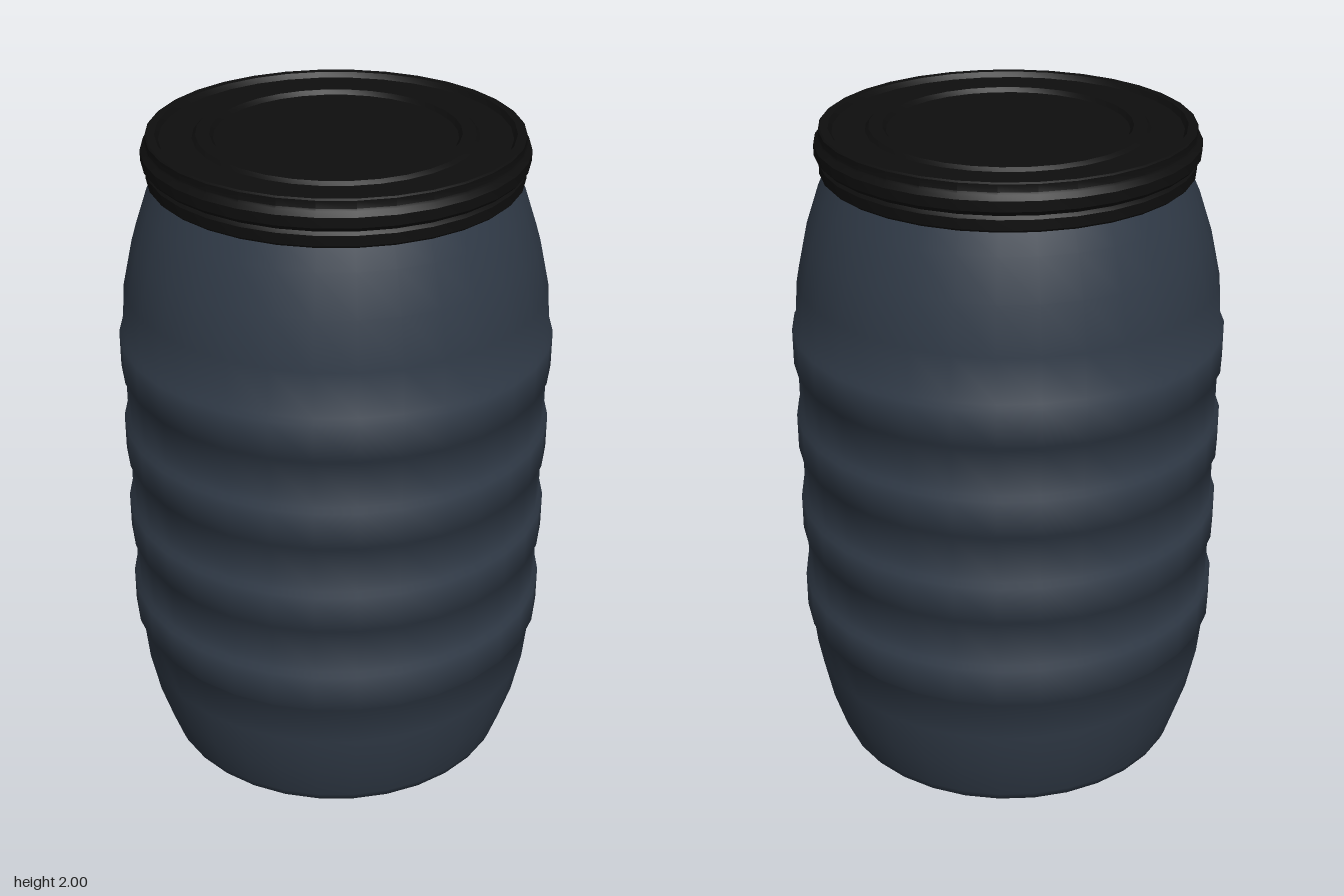
import * as THREE from 'three';
import { toCreasedNormals } from 'three/addons/utils/BufferGeometryUtils.js';

const SIDES = 32;
const PHASE = THREE.MathUtils.degToRad(-7.5);

// Lathe whose normals average neighbouring slopes equally, for soft rolled ribs
function softLathe(points) {
  const geometry = new THREE.LatheGeometry(points, SIDES, PHASE);
  const slopes = points.slice(1).map((p, i) =>
    new THREE.Vector2(p.y - points[i].y, points[i].x - p.x).normalize());
  const normal = geometry.attributes.normal;
  for (let s = 0; s <= SIDES; s++) {
    const phi = PHASE + (s / SIDES) * Math.PI * 2;
    points.forEach((_, j) => {
      const a = slopes[Math.max(j - 1, 0)];
      const b = slopes[Math.min(j, slopes.length - 1)];
      const n = a.clone().add(b).normalize();
      normal.setXYZ(s * points.length + j, n.x * Math.sin(phi), n.y, n.x * Math.cos(phi));
    });
  }
  return geometry;
}

const profile = (pairs) => pairs.map(([r, y]) => new THREE.Vector2(r, y));

export function createModel() {
  const bodyPlastic = new THREE.MeshStandardMaterial({ color: 0x303a47 });
  bodyPlastic.name = 'slate blue plastic';
  const lidPlastic = new THREE.MeshStandardMaterial({ color: 0x0e0e0e });
  lidPlastic.name = 'black plastic';

  const barrel = new THREE.Group();
  barrel.name = 'barrel';
  const add = (name, geometry, material) => {
    const mesh = new THREE.Mesh(geometry, material);
    mesh.name = name;
    barrel.add(mesh);
    return mesh;
  };

  // Body: bulging wall with four raised ribs
  const wall = [[0.532, 0], [0.546, 0.006], [0.556, 0.03], [0.594, 0.15], [0.623, 0.29]];
  for (let i = 0; i < 4; i++) {
    const y = 0.42 + i * 0.2817;
    wall.push([0.636, y], [0.648, y + 0.014], [0.648, y + 0.126], [0.636, y + 0.14]);
  }
  wall.push([0.627, 1.54], [0.596, 1.68], [0.556, 1.8], [0.522, 1.875]);
  add('body', softLathe(profile(wall)), bodyPlastic);

  // Flat underside
  const base = add('base', new THREE.CircleGeometry(0.532, SIDES, PHASE), bodyPlastic);
  base.rotation.x = Math.PI / 2;

  // Lid: clamping band, raised rim, and stepped rings on the top
  const lid = new THREE.LatheGeometry(profile([
    [0.5, 1.862], [0.538, 1.862], [0.545, 1.869], [0.545, 1.899], [0.537, 1.908],
    [0.548, 1.914], [0.558, 1.925], [0.558, 1.955], [0.547, 1.968], [0.543, 1.974],
    [0.543, 1.996], [0.538, 2], [0.515, 2], [0.505, 1.985],
    [0.41, 1.985], [0.4, 1.995], [0.36, 1.995], [0.35, 1.982], [0, 1.982],
  ]), SIDES, PHASE);
  add('lid', toCreasedNormals(lid, 0.6), lidPlastic);

  return barrel;
}
